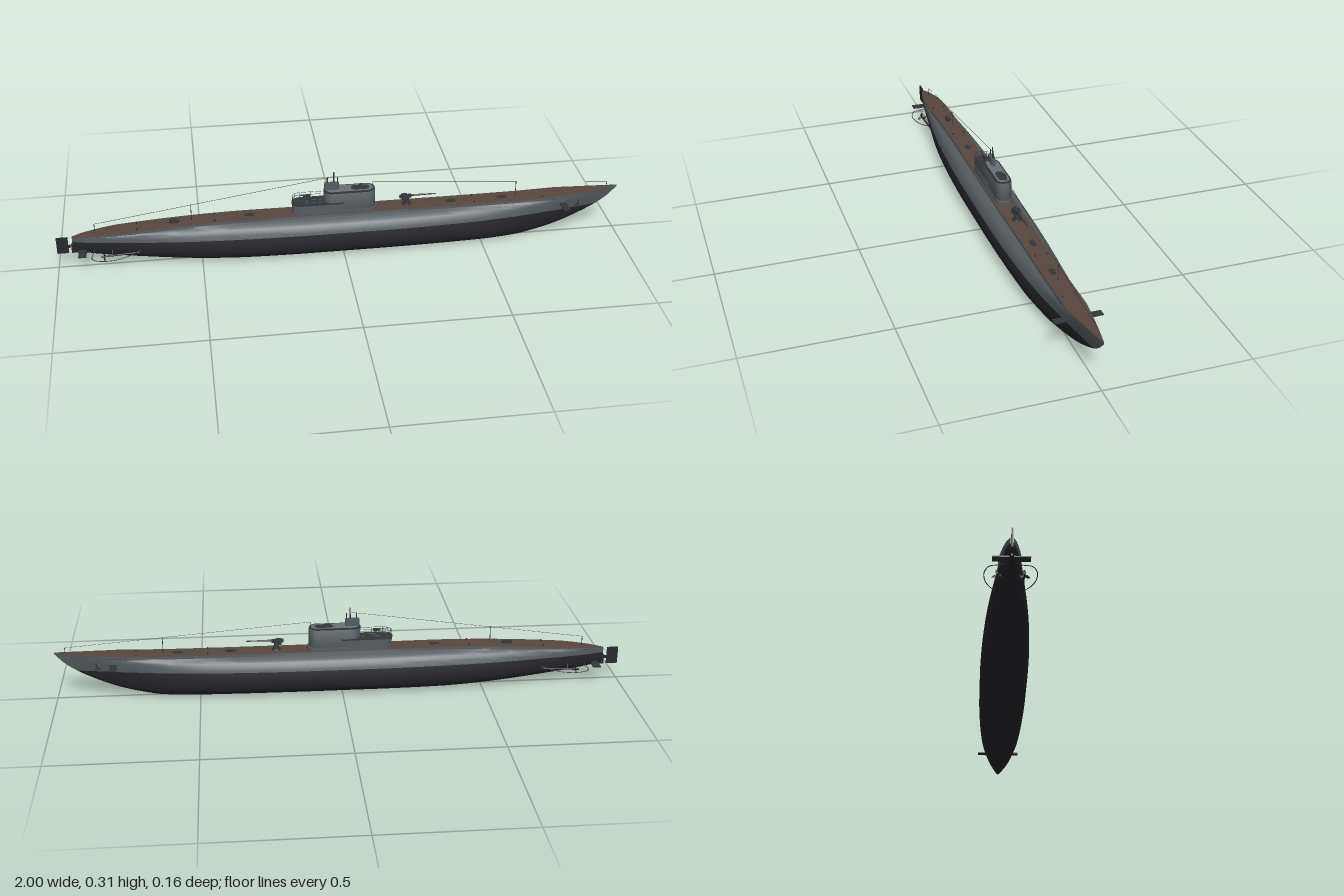
import * as THREE from 'three';
import { toCreasedNormals } from 'three/addons/utils/BufferGeometryUtils.js';

const mat = (name, color, side = THREE.FrontSide) => {
  const m = new THREE.MeshStandardMaterial({ color, side });
  m.name = name;
  return m;
};
const V = (x, y, z) => new THREE.Vector3(x, y, z);
const WATER = 0.103;

// Hull stations: x, keel height, deck height, greatest half width
const STATIONS = [
  [-0.945, 0.062, 0.119, 0.006], [-0.9, 0.054, 0.126, 0.02], [-0.8, 0.038, 0.136, 0.038],
  [-0.6, 0.017, 0.15, 0.06], [-0.4, 0.003, 0.157, 0.074], [-0.2, 0, 0.157, 0.081],
  [0, 0, 0.156, 0.082], [0.2, 0, 0.156, 0.081], [0.4, 0, 0.156, 0.074], [0.6, 0.001, 0.157, 0.06],
  [0.7, 0.014, 0.159, 0.049], [0.8, 0.042, 0.162, 0.036], [0.9, 0.088, 0.167, 0.019], [0.96, 0.127, 0.171, 0.008],
  [1, 0.168, 0.174, 0.0005],
];
// Midship profile: height fraction, width fraction
const PROFILE = [[0, 0], [0.015, 0.3], [0.05, 0.51], [0.1, 0.68], [0.18, 0.83], [0.28, 0.93], [0.38, 0.985], [0.5, 1],
  [0.62, 0.98], [0.7, 0.945], [0.77, 0.9], [0.85, 0.8], [0.89, 0.72], [0.92, 0.55], [0.94, 0.45], [1, 0.43]];
const heights = new THREE.CatmullRomCurve3(STATIONS.map(s => V(s[0], s[1], s[2])), false, 'catmullrom', 0.5);
const widths = new THREE.CatmullRomCurve3(STATIONS.map(s => V(s[0], s[3], 0)), false, 'catmullrom', 0.5);

function profile(t) {
  let i = 1;
  while (i < PROFILE.length - 1 && PROFILE[i][0] < t) i++;
  const [t0, w0] = PROFILE[i - 1], [t1, w1] = PROFILE[i];
  return THREE.MathUtils.mapLinear(t, t0, t1, w0, w1);
}

// Half width at height fraction t: round amidships, wedge-shaped towards the ends
function halfWidth(x, W, t) {
  const end = x > 0 ? Math.pow(t, 0.85) : Math.pow(t, 0.45);
  const b = x > 0 ? THREE.MathUtils.smoothstep(x, 0.45, 0.97) : 0.8 * THREE.MathUtils.smoothstep(-x, 0.5, 0.95);
  const w = W * THREE.MathUtils.lerp(profile(t), end, b);
  return t >= 0.94 ? Math.max(w, Math.min(0.035, 0.9 * W)) : w;
}

// Skin through rings of points running along +x
function loft(rings) {
  const n = rings[0].length, idx = [];
  for (let i = 0; i < rings.length - 1; i++) for (let j = 0; j < n - 1; j++) {
    const a = i * n + j, b = a + n;
    idx.push(a, b, a + 1, b, b + 1, a + 1);
  }
  const g = new THREE.BufferGeometry().setFromPoints(rings.flat());
  g.setIndex(idx);
  return toCreasedNormals(g, 0.55);
}

function stadium(x0, x1, r, y0, y1, bevel = 0) {
  const s = new THREE.Shape();
  s.absarc(x1 - r, 0, r, -Math.PI / 2, Math.PI / 2, false);
  s.absarc(x0 + r, 0, r, Math.PI / 2, Math.PI * 1.5, false);
  const g = new THREE.ExtrudeGeometry(s, { depth: y1 - y0, bevelEnabled: bevel > 0, bevelSize: bevel, bevelThickness: bevel, bevelOffset: -bevel, bevelSegments: 2, curveSegments: 14 });
  return toCreasedNormals(g.rotateX(-Math.PI / 2).translate(0, y0, 0), 0.6);
}

export function createModel() {
  const group = new THREE.Group();
  const grey = mat('hullGrey', 0x565d61), dark = mat('bottomBlack', 0x28282e, THREE.DoubleSide);
  const brown = mat('deckBrown', 0x584740), metal = mat('fittingsDark', 0x33373b, THREE.DoubleSide);
  const light = mat('trimGrey', 0x697276);

  const add = (name, geo, m) => {
    const mesh = new THREE.Mesh(geo, m);
    mesh.name = name;
    group.add(mesh);
    return mesh;
  };
  const box = (name, m, x, y, z, w, h, d) => add(name, new THREE.BoxGeometry(w, h, d).translate(x, y, z), m);
  const rod = (name, m, a, b, r, r2 = r, sides = 8) => {
    const mesh = add(name, new THREE.CylinderGeometry(r2, r, a.distanceTo(b), sides), m);
    mesh.position.copy(a).lerp(b, 0.5);
    mesh.quaternion.setFromUnitVectors(V(0, 1, 0), b.clone().sub(a).normalize());
    return mesh;
  };
  const tube = (name, m, pts, r, closed = false) =>
    add(name, new THREE.TubeGeometry(new THREE.CatmullRomCurve3(pts, closed), 40, r, 6, closed), m);

  // Hull skins, split at the waterline
  const bottom = [], port = [], starboard = [], deck = [];
  const N = 84;
  for (let i = 0; i <= N; i++) {
    const h = heights.getPoint(i / N), x = h.x, K = h.y, D = h.z;
    const W = Math.max(0.0004, widths.getPoint(i / N).y);
    const tw = THREE.MathUtils.clamp((WATER - K) / (D - K), 0, 1);
    const at = (t, s) => V(x, K + (D - K) * t, s * halfWidth(x, W, t));
    const low = [], up = [];
    for (let j = 0; j <= 14; j++) low.push(tw * Math.pow(j / 14, 1.9));
    for (const t of [0, 0.25, 0.5, 0.6, 0.65, 0.7, 0.75, 0.8, 0.85, 0.89, 0.92, 0.94, 0.97, 1]) up.push(Math.max(t, tw));
    bottom.push([...low.slice(1).reverse().map(t => at(t, -1)), ...low.map(t => at(t, 1))]);
    port.push(up.map(t => at(t, 1)));
    starboard.push(up.slice().reverse().map(t => at(t, -1)));
    const edge = at(1, 1);
    deck.push([edge, V(x, D + 0.001, 0), at(1, -1)]);
  }
  add('hullBottom', loft(bottom), dark);
  add('hullSideLeft', loft(port), grey);
  add('hullSideRight', loft(starboard), grey);
  add('woodDeck', loft(deck), brown);

  // Conning tower, with a lower gun platform behind it
  add('towerBase', stadium(-0.18, 0.122, 0.03, 0.15, 0.168), grey);
  add('gunPlatform', stadium(-0.178, 0.02, 0.029, 0.155, 0.196), grey);
  add('platformEdge', stadium(-0.18, 0.02, 0.0305, 0.193, 0.197), metal);
  add('tower', stadium(-0.066, 0.116, 0.0275, 0.155, 0.232, 0.004), grey);
  add('towerRim', stadium(-0.066, 0.114, 0.0272, 0.233, 0.238), metal);
  add('bridgeFloor', stadium(-0.06, 0.108, 0.022, 0.237, 0.2388), light);
  add('bridgeWell', stadium(0.03, 0.095, 0.015, 0.238, 0.2395), metal);
  add('periscopeHousing', stadium(-0.064, -0.012, 0.0075, 0.238, 0.264), grey);
  for (const [x, y, r] of [[-0.053, 0.285, 0.0025], [-0.03, 0.305, 0.0028], [-0.017, 0.285, 0.002]])
    rod('periscope', metal, V(x, 0.26, 0), V(x, y, 0), r, r * 0.7);
  rod('compass', metal, V(0.065, 0.238, -0.014), V(0.065, 0.244, -0.014), 0.004);
  rod('bridgePost', metal, V(0.108, 0.236, 0), V(0.108, 0.256, 0), 0.001);

  // Platform railing
  const rail = [];
  for (let i = 0; i <= 10; i++) {
    const a = Math.PI / 2 + (i / 10) * Math.PI;
    rail.push(V(-0.149 + 0.028 * Math.cos(a), 0, 0.028 * Math.sin(a)));
  }
  rail.unshift(V(-0.07, 0, 0.028));
  rail.push(V(-0.07, 0, -0.028));
  for (const y of [0.207, 0.217]) tube('railing', metal, rail.map(p => V(p.x, y, p.z)), 0.0007);
  for (const p of [...rail.filter((_, i) => i % 2), V(-0.11, 0, 0.028), V(-0.11, 0, -0.028)])
    rod('railPost', metal, V(p.x, 0.195, p.z), V(p.x, 0.217, p.z), 0.0007);

  // Anti-aircraft gun
  rod('aaPedestal', metal, V(-0.12, 0.195, 0), V(-0.12, 0.216, 0), 0.006, 0.003);
  box('aaBreech', metal, -0.125, 0.219, 0, 0.026, 0.007, 0.008);
  rod('aaBarrel', metal, V(-0.13, 0.22, 0), V(-0.168, 0.224, 0), 0.0014);

  // Deck gun
  rod('gunBase', metal, V(0.23, 0.155, 0), V(0.23, 0.163, 0), 0.017, 0.014, 16);
  rod('gunPedestal', metal, V(0.23, 0.162, 0), V(0.23, 0.186, 0), 0.011, 0.006, 12);
  box('gunBreech', metal, 0.225, 0.189, 0, 0.042, 0.011, 0.01);
  for (const s of [-1, 1]) box('gunSight', metal, 0.222, 0.186, s * 0.01, 0.02, 0.016, 0.004);
  rod('gunBarrel', metal, V(0.24, 0.191, 0), V(0.335, 0.191, 0), 0.0034, 0.002);

  // Aerial wires and their masts
  const wires = [[V(-0.865, 0.165, 0), V(-0.035, 0.287, 0)], [V(0.108, 0.256, 0), V(0.962, 0.19, 0)]];
  for (const [a, b] of wires) rod('aerialWire', metal, a, b, 0.0007, 0.0007, 5);
  for (const [x, y0, y1] of [[-0.865, 0.128, 0.165], [-0.53, 0.15, 0.215], [0.625, 0.155, 0.217], [0.962, 0.168, 0.19]])
    rod('aerialMast', metal, V(x, y0, 0), V(x, y1, 0), 0.0012);

  // Deck hatches and bollards
  for (const x of [-0.59, -0.33, 0.39, 0.575]) add('hatch', stadium(x - 0.018, x + 0.018, 0.009, 0.15, 0.1595), metal);
  for (const x of [-0.72, -0.45, 0.47, 0.72]) for (const s of [-1, 1])
    rod('bollard', metal, V(x, 0.138, s * 0.022), V(x, x < -0.6 ? 0.149 : 0.163, s * 0.022), 0.003);

  // Rudder, skeg and sternpost
  box('rudder', dark, -0.98, 0.088, 0, 0.04, 0.062, 0.005);
  box('rudderStock', dark, -0.957, 0.083, 0, 0.01, 0.01, 0.004);
  box('skeg', dark, -0.928, 0.074, 0, 0.044, 0.034, 0.006);

  for (const s of [-1, 1]) {
    // Diving planes
    box('sternPlane', metal, -0.912, 0.068, s * 0.03, 0.028, 0.004, 0.052);
    box('bowPlane', metal, 0.797, 0.13, s * 0.054, 0.024, 0.004, 0.052);
    // Propeller, shaft and guard
    rod('shaft', dark, V(-0.65, 0.062, s * 0.034), V(-0.85, 0.055, s * 0.04), 0.003);
    rod('shaftStrut', dark, V(-0.81, 0.057, s * 0.039), V(-0.81, 0.08, s * 0.02), 0.002);
    for (let k = 0; k < 3; k++) {
      const blade = add('propellerBlade', new THREE.SphereGeometry(1, 10, 6).scale(0.0016, 0.009, 0.005).rotateY(0.5).translate(0, 0.009, 0), dark);
      blade.position.set(-0.838, 0.0555, s * 0.04);
      blade.rotation.x = k * Math.PI * 2 / 3;
    }
    tube('propellerGuard', metal, [V(-0.71, 0.075, s * 0.045), V(-0.75, 0.065, s * 0.062), V(-0.8, 0.06, s * 0.076),
      V(-0.85, 0.06, s * 0.077), V(-0.879, 0.062, s * 0.062), V(-0.875, 0.068, s * 0.035), V(-0.87, 0.075, s * 0.018)], 0.0014);
    // Anchor on the bow
    rod('anchorShank', metal, V(0.852, 0.114, s * 0.019), V(0.857, 0.14, s * 0.025), 0.0018);
    box('anchorArms', metal, 0.852, 0.114, s * 0.019, 0.018, 0.005, 0.005);
  }
  return group;
}
